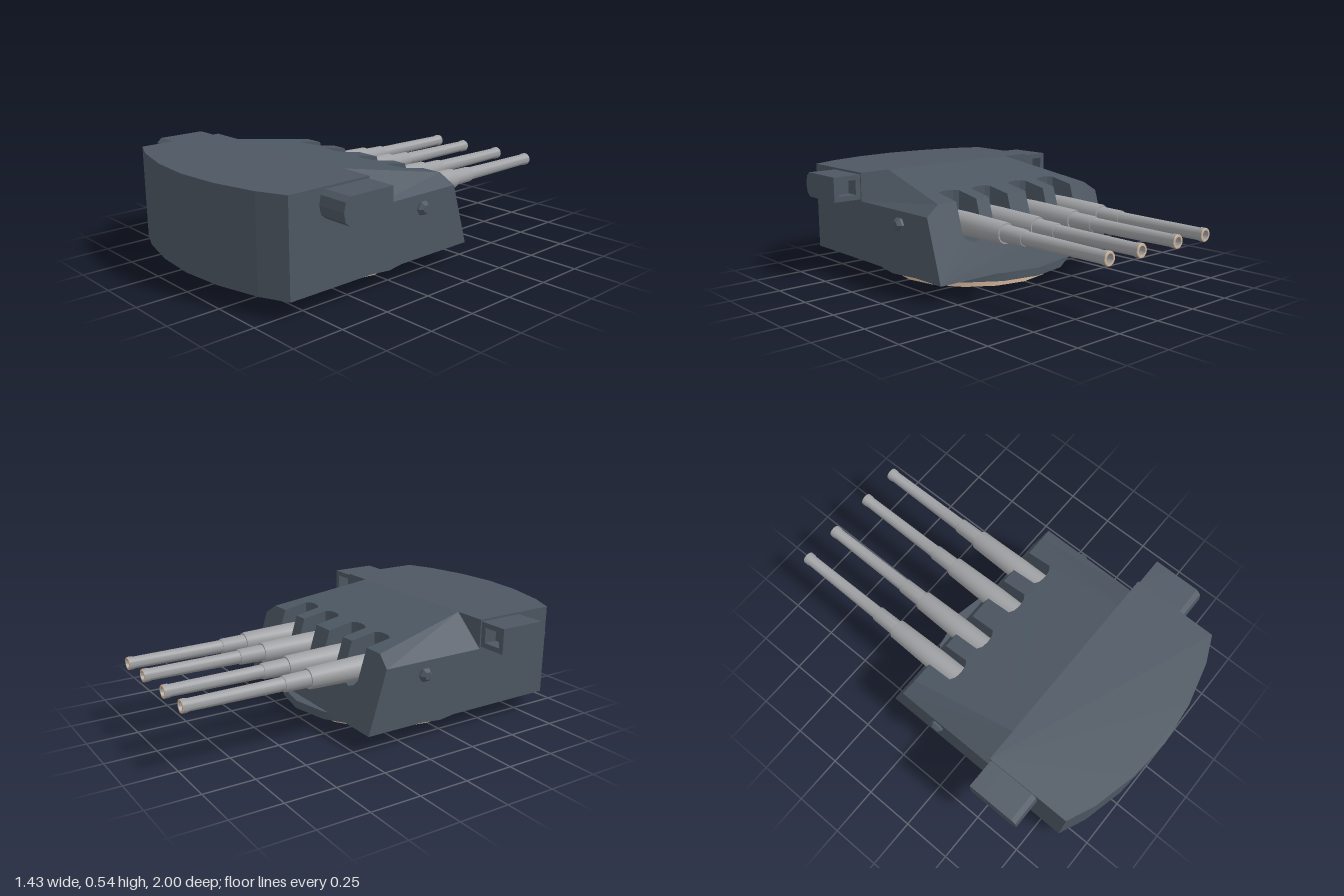
import * as THREE from 'three';
import { mergeGeometries, toCreasedNormals } from 'three/addons/utils/BufferGeometryUtils.js';

const GUNS = [0.322, 0.122, -0.122, -0.322];
const GUN_Y = 0.33, SLOT = 0.061;
const W = 0.565, BASE = 0.09, TOP = 0.54, EAVE = 0.395, BROW = 0.445, STEP_Z = 0.43;

// Sloping planes of the front roof and the gun face
const roofY = z => TOP - 0.095 * (STEP_Z - z) / 0.53;
const faceZ = y => -0.21 + 0.11 * (y - BASE) / 0.355;

// Rounded slot ends: [fraction of half width, roof z, face y]
const SLOT_END = [[-1, 0.03, 0.29], [-0.6, 0.045, 0.262], [0, 0.05, 0.25], [0.6, 0.045, 0.262], [1, 0.03, 0.29]];

const shapeOf = pts => new THREE.Shape(pts.map(p => new THREE.Vector2(p[0], p[1])));

// Flat convex panel from its corners
function panel(pts, flip = false) {
  const p = flip ? [...pts].reverse() : pts;
  const tris = [];
  for (let i = 1; i < p.length - 1; i++) tris.push(...p[0], ...p[i], ...p[i + 1]);
  const g = new THREE.BufferGeometry();
  g.setAttribute('position', new THREE.Float32BufferAttribute(tris, 3));
  g.computeVertexNormals();
  return g;
}

// Flat shape placed in space by a rule
function mapped(pts, rule) {
  const g = new THREE.ShapeGeometry(shapeOf(pts)).toNonIndexed();
  g.deleteAttribute('uv');
  const p = g.attributes.position;
  for (let i = 0; i < p.count; i++) p.setXYZ(i, ...rule(p.getX(i), p.getY(i)));
  g.computeVertexNormals();
  return g;
}

// Outline of the four gun slots cut into an edge, from right to left
const notches = (edge, end) => GUNS.flatMap(x => [
  [x + SLOT, edge],
  ...[...SLOT_END].reverse().map(e => [x + e[0] * SLOT, end(e)]),
  [x - SLOT, edge],
]);

function frontHouse() {
  const parts = [];
  // Sloping roof and gun face
  parts.push(mapped(
    [[-0.4, -STEP_Z], [0.4, -STEP_Z], [0.49, 0.1], ...notches(0.1, e => -e[1]), [-0.49, 0.1]],
    (x, y) => [x, roofY(-y), -y]));
  parts.push(mapped(
    [[-W, BASE], [W, BASE], [W, EAVE], [0.49, BROW], ...notches(BROW, e => e[2]), [-0.49, BROW], [-W, EAVE]],
    (x, y) => [-x, y, faceZ(y)]));
  // Side walls and bevelled shoulders
  for (const s of [1, -1]) {
    parts.push(panel([[s * W, BASE, faceZ(BASE)], [s * W, EAVE, faceZ(EAVE)], [s * W, EAVE, STEP_Z], [s * W, BASE, STEP_Z]], s < 0));
    parts.push(panel([[s * 0.49, BROW, -0.1], [s * 0.4, TOP, STEP_Z], [s * W, EAVE, STEP_Z], [s * W, EAVE, faceZ(EAVE)]], s < 0));
  }
  // Floor
  parts.push(panel([[-W, BASE, -0.21], [W, BASE, -0.21], [W, BASE, STEP_Z], [-W, BASE, STEP_Z]]));
  // Inner walls of the gun slots
  for (const x of GUNS) {
    for (const s of [-1, 1]) {
      const wx = x + s * SLOT;
      parts.push(panel([[wx, 0.29, faceZ(0.29)], [wx, BROW, -0.1], [wx, roofY(0.03), 0.03], [wx, 0.29, 0.03]], s > 0));
    }
    for (let i = 0; i < SLOT_END.length - 1; i++) {
      const [u0, z0, y0] = SLOT_END[i], [u1, z1, y1] = SLOT_END[i + 1];
      const x0 = x + u0 * SLOT, x1 = x + u1 * SLOT;
      parts.push(panel([[x0, y0, faceZ(y0)], [x0, y0, 0.05], [x1, y1, 0.05], [x1, y1, faceZ(y1)]]));
      parts.push(panel([[x0, 0.25, z0], [x0, roofY(z0), z0], [x1, roofY(z1), z1], [x1, 0.25, z1]]));
    }
  }
  return mergeGeometries(parts);
}

// Lathe along -z with crisp steps
function turned(profile, sides = 20) {
  const g = new THREE.LatheGeometry(profile.map(p => new THREE.Vector2(p[0], p[1])), sides);
  g.rotateX(-Math.PI / 2);
  return toCreasedNormals(g, 0.6);
}

export function createModel() {
  const armour = new THREE.MeshStandardMaterial({ color: 0x4d5762, side: THREE.DoubleSide });
  armour.name = 'armour grey';
  const steel = new THREE.MeshStandardMaterial({ color: 0xa0a1a4, side: THREE.DoubleSide });
  steel.name = 'gun steel';
  const tan = new THREE.MeshStandardMaterial({ color: 0xd2b59a, side: THREE.DoubleSide });
  tan.name = 'tan';

  const model = new THREE.Group();
  model.name = 'gunTurret';
  const add = (name, geometry, material, x = 0, y = 0, z = 0, parent = model) => {
    const m = new THREE.Mesh(geometry, material);
    m.name = name;
    m.position.set(x, y, z);
    parent.add(m);
    return m;
  };

  // Base ring and flange
  add('baseRing', new THREE.CylinderGeometry(0.414, 0.414, 0.05, 16, 1, true), tan, 0, 0.025, 0.25);
  add('flange', new THREE.CylinderGeometry(0.512, 0.512, 0.04, 16), armour, 0, 0.07, 0.25);

  // Rear house with curved back wall
  const back = [[W, 0.865], [0.43, 0.925], [0.215, 0.978], [0, 0.997], [-0.215, 0.978], [-0.43, 0.925], [-W, 0.865]];
  const rear = new THREE.ExtrudeGeometry(shapeOf([[-W, STEP_Z], [W, STEP_Z], ...back]), { depth: TOP - BASE, bevelEnabled: false });
  rear.rotateX(Math.PI / 2);
  add('rearHouse', rear, armour, 0, TOP, 0);
  add('frontHouse', frontHouse(), armour);

  // Rangefinder ears: hollow hood in front, rounded body behind
  const hood = shapeOf([[-0.075, 0.405], [0.075, 0.405], [0.075, 0.53], [-0.075, 0.53]]);
  hood.holes.push(new THREE.Path([[-0.048, 0.43], [-0.048, 0.505], [0.048, 0.505], [0.048, 0.43]].map(p => new THREE.Vector2(...p))));
  const hoodGeo = new THREE.ExtrudeGeometry(hood, { depth: 0.07, bevelEnabled: false });
  const earGeo = new THREE.ExtrudeGeometry(
    shapeOf([[0.505, 0.405], [0.675, 0.405], [0.699, 0.425], [0.708, 0.4675], [0.699, 0.51], [0.675, 0.53], [0.505, 0.53]]),
    { depth: 0.15, bevelEnabled: false });
  earGeo.rotateY(-Math.PI / 2).translate(0.075, 0, 0);

  // Hexagonal side knobs
  const knobGeo = new THREE.LatheGeometry(
    [[0.035, -0.02], [0.035, 0.012], [0.02, 0.03], [0, 0.03]].map(p => new THREE.Vector2(...p)), 6);
  const knobFlat = toCreasedNormals(knobGeo, 0.3);

  for (const s of [1, -1]) {
    const side = s > 0 ? 'left' : 'right';
    add(side + 'RangefinderHood', hoodGeo, armour, s * 0.64, 0, 0.437);
    add(side + 'RangefinderBody', earGeo, armour, s * 0.64, 0, 0);
    add(side + 'Knob', knobFlat, armour, s * W, GUN_Y, 0.1).rotation.z = -s * Math.PI / 2;
  }

  // Stepped barrels with open bores and tan muzzle rims
  const barrelGeo = turned([
    [0, -0.05], [0.058, -0.05], [0.058, 0.11], [0.051, 0.375], [0.048, 0.383], [0.041, 0.383],
    [0.039, 0.505], [0.036, 0.512], [0.033, 0.512], [0.029, 0.965], [0.032, 0.975], [0.032, 0.997],
  ]);
  const boreGeo = turned([[0.021, 0.998], [0.021, 0.88], [0, 0.88]]);
  const rimGeo = turned([[0.032, 0.997], [0.03, 1], [0.021, 1], [0.021, 0.997]]);
  GUNS.forEach((x, i) => {
    const gun = new THREE.Group();
    gun.name = 'gun' + (i + 1);
    gun.position.set(x, GUN_Y, 0);
    add('barrel', barrelGeo, steel, 0, 0, 0, gun);
    add('bore', boreGeo, steel, 0, 0, 0, gun);
    add('muzzleRim', rimGeo, tan, 0, 0, 0, gun);
    model.add(gun);
  });

  return model;
}
